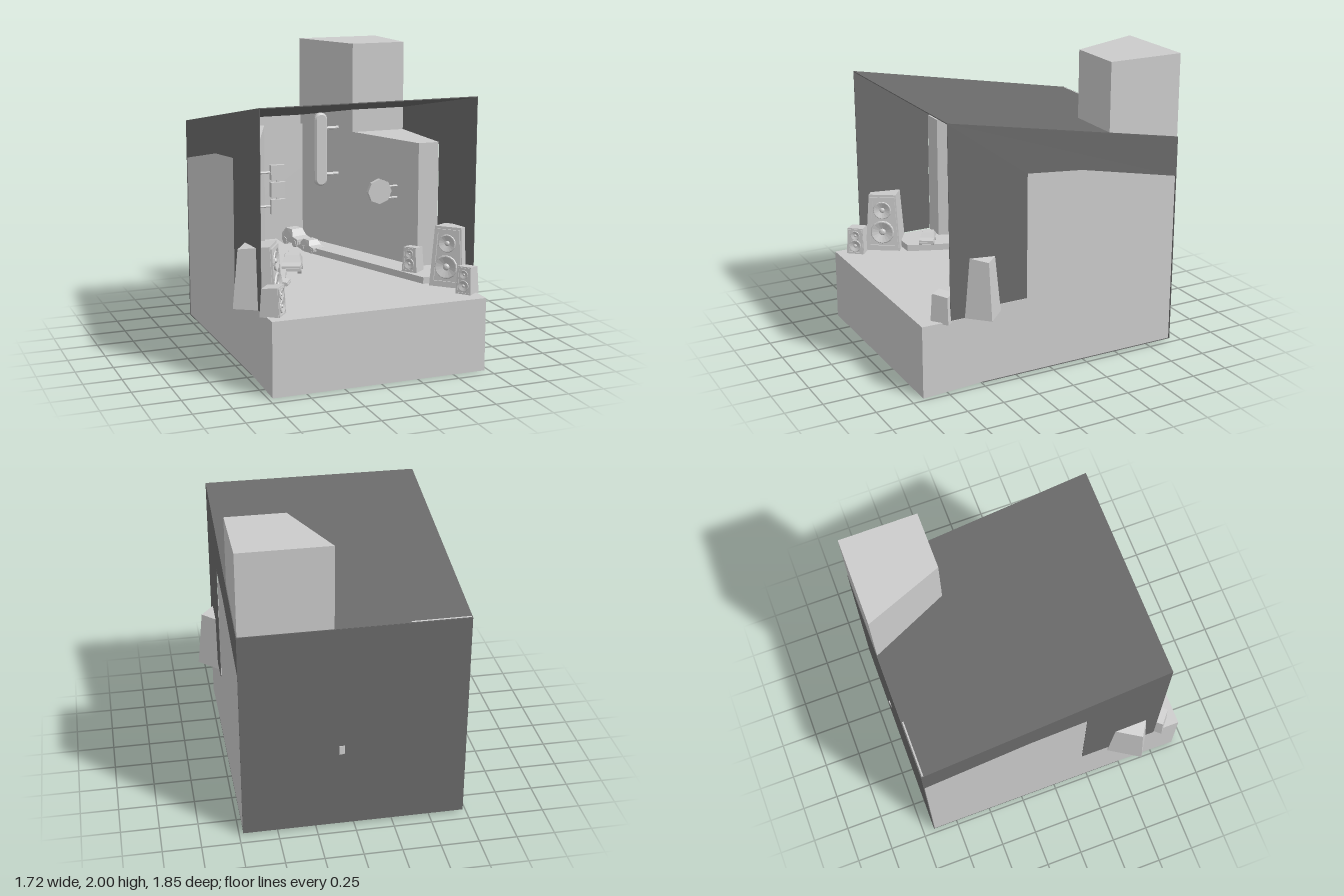
import * as THREE from 'three';

const grey = new THREE.MeshStandardMaterial({ color: 0xcccccc, flatShading: true, side: THREE.DoubleSide });
const dark = new THREE.MeshStandardMaterial({ color: 0x6a6a6a, flatShading: true, side: THREE.DoubleSide });

function add(parent, name, geometry, x = 0, y = 0, z = 0, material = grey) {
  const mesh = new THREE.Mesh(geometry, material);
  mesh.name = name;
  mesh.position.set(x, y, z);
  parent.add(mesh);
  return mesh;
}

const shapeOf = (pts) => new THREE.Shape(pts.map(([a, b]) => new THREE.Vector2(a, b)));

// Vertical prism over a floor plan of [x, z] points
function prism(plan, y0, y1) {
  const g = new THREE.ExtrudeGeometry(shapeOf(plan.map(([x, z]) => [x, -z])), { depth: y1 - y0, bevelEnabled: false });
  return g.rotateX(-Math.PI / 2).translate(0, y0, 0);
}

// Side profile of [z, y] points, extruded across x and centred
function profile(pts, width) {
  const g = new THREE.ExtrudeGeometry(shapeOf(pts), { depth: width, bevelEnabled: false });
  return g.rotateY(-Math.PI / 2).translate(width / 2, 0, 0);
}

// Horizontal rod along x
const rod = (length, r) => new THREE.CylinderGeometry(r, r, length, 8).rotateZ(Math.PI / 2);

// Tapered cabinet with two drivers, front along local +z, standing on y = 0
function speaker(w, h, d, taper) {
  const g = new THREE.Group();
  const body = new THREE.BoxGeometry(w, h, d).translate(0, h / 2, 0);
  const p = body.attributes.position;
  for (let i = 0; i < p.count; i++) {
    if (p.getY(i) < h / 2) continue;
    p.setX(i, p.getX(i) * taper);
    if (p.getZ(i) < 0) p.setY(i, h * 0.94);
    p.setZ(i, p.getZ(i) * taper);
  }
  add(g, 'cabinet', body);
  const face = new THREE.Group();
  face.name = 'speakerFace';
  face.position.set(0, 0, d / 2);
  face.rotation.x = -Math.atan(d * (1 - taper) / 2 / h);
  g.add(face);
  // Raised frame around the front
  const outline = (s, m) => [[-w * s, m], [w * s, m], [w * s * taper, h - m], [-w * s * taper, h - m]];
  const frame = shapeOf(outline(0.46, h * 0.04));
  frame.holes.push(new THREE.Path(outline(0.36, h * 0.1).map(([a, b]) => new THREE.Vector2(a, b))));
  add(face, 'frontFrame', new THREE.ExtrudeGeometry(frame, { depth: w * 0.05, bevelEnabled: false }));
  for (const [fy, fr] of [[0.34, 0.3], [0.73, 0.23]]) {
    const r = w * fr;
    add(face, 'driverRing', new THREE.TorusGeometry(r, r * 0.14, 6, 16), 0, h * fy, w * 0.04);
    const cone = [[0, 0.3], [0.2, 0.26], [0.33, 0.05], [1, 0.3]].map(([a, b]) => new THREE.Vector2(a * r, b * r));
    add(face, 'driverCone', new THREE.LatheGeometry(cone, 16).rotateX(Math.PI / 2), 0, h * fy, w * 0.01);
  }
  return g;
}

// Small toy car, nose along local +z, standing on y = 0
function car(w, h, l) {
  const g = new THREE.Group();
  const side = [[-0.5, 0.2], [0.5, 0.2], [0.5, 0.5], [0.2, 0.6], [0.06, 1], [-0.34, 1], [-0.5, 0.62]];
  const body = profile(side.map(([z, y]) => [z * l, y * h]), w);
  const p = body.attributes.position;
  for (let i = 0; i < p.count; i++) if (p.getY(i) > h * 0.9) p.setX(i, p.getX(i) * 0.75);
  add(g, 'carBody', body);
  for (const x of [-1, 1]) for (const z of [-0.3, 0.3]) {
    add(g, 'wheel', new THREE.CylinderGeometry(h * 0.22, h * 0.22, w * 0.2, 10).rotateZ(Math.PI / 2), x * w * 0.43, h * 0.22, z * l);
  }
  add(g, 'bumper', new THREE.BoxGeometry(w * 0.9, h * 0.14, l * 0.06), 0, h * 0.3, l * 0.51);
  return g;
}

function place(parent, name, obj, x, y, z, ry) {
  obj.name = name;
  obj.position.set(x, y, z);
  obj.rotation.y = ry;
  parent.add(obj);
}

export function createModel() {
  const model = new THREE.Group();
  model.name = 'stageRoom';
  const X = 0.722, B = -0.92;

  // Base with slightly raised underside
  add(model, 'base', profile([[0.92, 0], [0.92, 0.485], [-0.915, 0.485], [-0.915, 0.02], [0.5, 0.02]], X * 2));

  // Thick side walls narrowing towards the back, and the kerbs along them
  for (const s of [-1, 1]) {
    add(model, 'innerWall', prism([[s * X, 0.19], [s * 0.575, 0.19], [s * 0.145, -0.915], [s * X, -0.915]], 0.48, 1.38));
    add(model, 'platform', prism([[s * X, 0.47], [s * 0.49, 0.47], [s * 0.06, -0.64], [s * 0.06, -0.91], [s * X, -0.91]], 0.48, 0.53));
  }
  add(model, 'backWall', new THREE.BoxGeometry(X * 2, 0.96, 0.006), 0, 0.965, -0.912);

  // Corner tower through the roof and small block in the opposite corner
  add(model, 'tower', prism([[0.13, -0.918], [0.335, -0.4], [X, -0.4], [X, -0.918]], 1.38, 2));
  add(model, 'cornerBlock', profile([[-0.755, 1.36], [-0.755, 1.478], [-0.915, 1.449], [-0.915, 1.36]], 0.377), -0.534);

  // Thin dark outer shell
  const wall = [[0.728, 0.49], [0.735, 1.757], [B, 1.447], [B, 1.18], [-0.2, 1.33], [0.19, 1.365], [0.19, 0.535], [0.47, 0.535], [0.47, 0.49]];
  for (const s of [-1, 1]) add(model, 'shellSide', profile(wall, 0.003), s * 0.7255, 0, 0, dark);
  add(model, 'roof', profile([[0.735, 1.752], [0.735, 1.758], [B, 1.448], [B, 1.442]], 1.454), 0, 0, 0, dark);
  add(model, 'shellBack', new THREE.BoxGeometry(1.454, 1.43, 0.004), 0, 0.731, -0.92, dark);
  add(model, 'shellBottom', new THREE.BoxGeometry(1.446, 0.004, 1.42), 0, 0.016, -0.21, dark);

  // Speakers
  place(model, 'largeSpeakerRight', speaker(0.24, 0.4, 0.26, 0.78), -0.69, 0.488, 0.55, 1.01);
  place(model, 'largeSpeakerLeft', speaker(0.23, 0.4, 0.26, 0.78), 0.68, 0.488, 0.514, -Math.PI / 4);
  place(model, 'smallSpeakerRight', speaker(0.125, 0.19, 0.125, 0.85), -0.667, 0.478, 0.77, 0.88);
  place(model, 'smallSpeakerLeft', speaker(0.11, 0.19, 0.12, 0.85), 0.672, 0.475, 0.75, -0.9);
  place(model, 'innerSpeakerLeft', speaker(0.11, 0.17, 0.11, 0.85), 0.5, 0.53, 0.28, -0.9);

  // Toy cars
  place(model, 'carOnFloor', car(0.13, 0.115, 0.2), -0.21, 0.488, -0.15, -0.42);
  place(model, 'smallCar', car(0.1, 0.075, 0.15), -0.48, 0.53, 0.32, 1.0);
  place(model, 'carAtBack', car(0.1, 0.085, 0.18), 0.115, 0.488, -0.62, 0.2);
  place(model, 'truckAtBack', car(0.12, 0.12, 0.2), 0.06, 0.5, -0.81, 0.25);
  add(model, 'backTip', prism([[0.05, -0.915], [0.1, -0.915], [0.1, -0.93], [0.07, -0.925]], 0.55, 0.61));

  // Three panels on rods by one wall
  for (const y of [0.967, 1.083, 1.2]) add(model, 'wallPanel', new THREE.BoxGeometry(0.1, 0.1, 0.035), -0.338, y, -0.07);
  for (const y of [0.97, 1.2]) add(model, 'panelRod', rod(0.12, 0.009), -0.4, y, -0.08);
  add(model, 'panelSpine', new THREE.BoxGeometry(0.02, 0.28, 0.015), -0.338, 1.083, -0.07);

  // Upright rounded board on rods
  const board = new THREE.Shape();
  board.absarc(0, 0.215, 0.035, 0, Math.PI);
  board.absarc(0, -0.215, 0.035, Math.PI, 2 * Math.PI);
  board.closePath();
  const boardGeo = new THREE.ExtrudeGeometry(board, { depth: 0.02, bevelThickness: 0.012, bevelSize: 0.012, bevelSegments: 1, curveSegments: 6 });
  add(model, 'uprightBoard', boardGeo, 0.14, 1.25, -0.53);
  for (const y of [1.07, 1.4]) add(model, 'boardRod', rod(0.13, 0.012), 0.21, y, -0.52);

  // Eight-sided disc on rods
  add(model, 'octagonDisc', new THREE.CylinderGeometry(0.087, 0.087, 0.03, 8).rotateX(Math.PI / 2), 0.37, 1.03, 0);
  for (const y of [0.98, 1.06]) add(model, 'discRod', rod(0.1, 0.008), 0.465, y, 0);

  return model;
}
